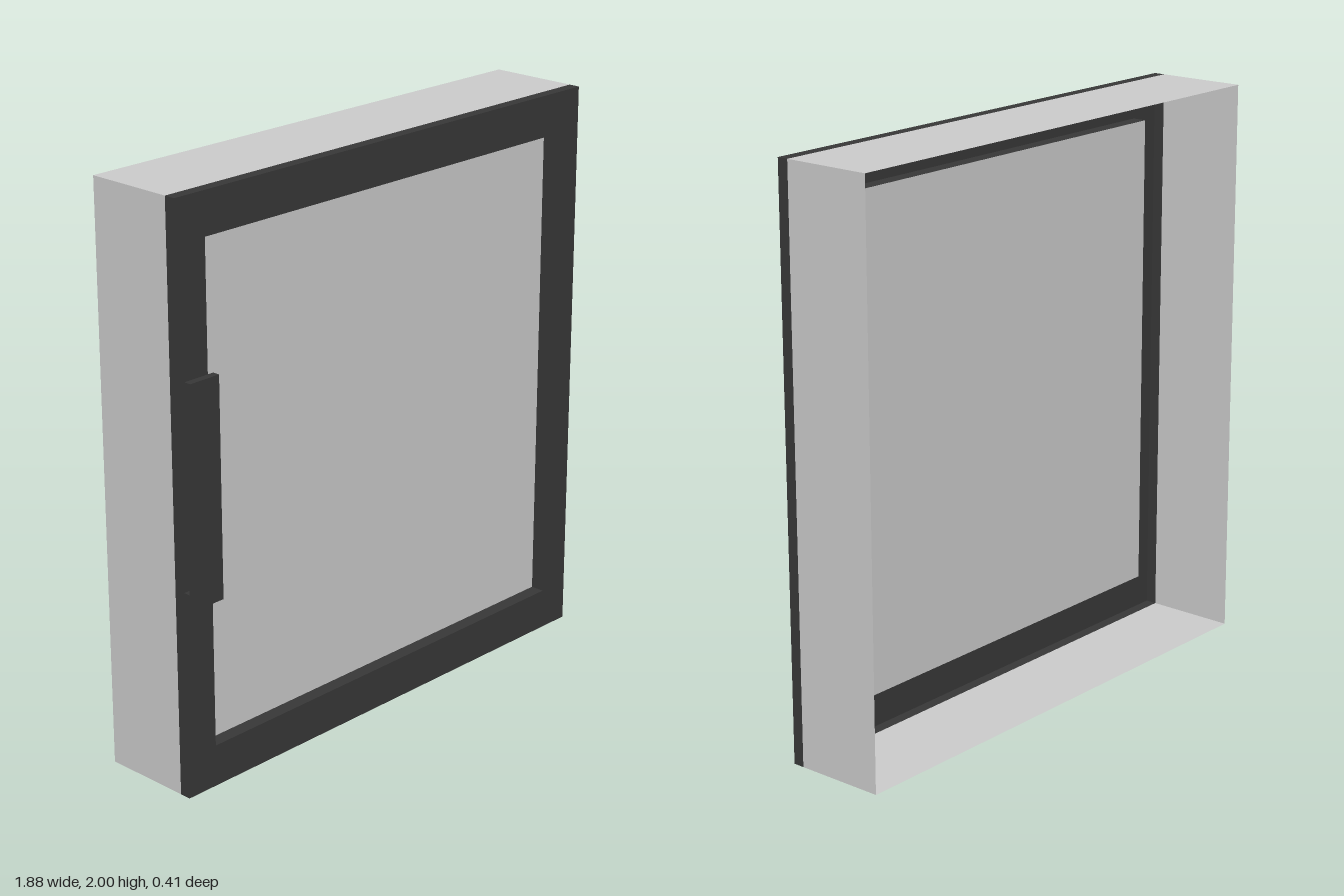
import * as THREE from 'three';
import { mergeGeometries } from 'three/addons/utils/BufferGeometryUtils.js';

const W = 1.88, H = 2;              // outer size
const PANE_W = 1.64, PANE_H = 1.71; // window opening
const PANE_Y = 1.0;                 // centre height
const BACK = -0.205, SEAM = 0.115, FACE = 0.155, PANE_Z = 0.105;

const grey = new THREE.MeshStandardMaterial({ color: 0xcccccc, side: THREE.DoubleSide });
const dark = new THREE.MeshStandardMaterial({ color: 0x383838, side: THREE.DoubleSide });

// Four thin walls around a rectangle, open at front and back
function sleeve(w, h, z0, z1) {
  const d = z1 - z0;
  const walls = [];
  for (let i = 0; i < 4; i++) {
    const across = i % 2 ? h : w;
    const out = (i % 2 ? w : h) / 2;
    walls.push(new THREE.PlaneGeometry(across, d)
      .rotateX(-Math.PI / 2)
      .translate(0, out, 0)
      .rotateZ(i * Math.PI / 2));
  }
  return mergeGeometries(walls).translate(0, PANE_Y, (z0 + z1) / 2);
}

function rectangle(PathType, w, h) {
  return new PathType([
    new THREE.Vector2(-w / 2, -h / 2), new THREE.Vector2(w / 2, -h / 2),
    new THREE.Vector2(w / 2, h / 2), new THREE.Vector2(-w / 2, h / 2),
  ]);
}

export function createModel() {
  const model = new THREE.Group();
  const add = (parent, name, geometry, material) => {
    const mesh = new THREE.Mesh(geometry, material);
    mesh.name = name;
    parent.add(mesh);
  };

  // Casing, open at the back
  add(model, 'casing', sleeve(W, H, BACK, SEAM), grey);

  // Door frame: rim, front face and the reveal around the window
  const door = new THREE.Group();
  door.name = 'doorFrame';
  const face = rectangle(THREE.Shape, W, H);
  face.holes.push(rectangle(THREE.Path, PANE_W, PANE_H));
  add(door, 'frameRim', sleeve(W, H, SEAM, FACE), dark);
  add(door, 'frameFace', new THREE.ShapeGeometry(face).translate(0, PANE_Y, FACE), dark);
  add(door, 'windowReveal', sleeve(PANE_W, PANE_H, PANE_Z, FACE), dark);
  model.add(door);

  // Window pane set back in the frame
  add(model, 'windowPane', new THREE.PlaneGeometry(PANE_W, PANE_H).translate(0, PANE_Y, PANE_Z), grey);

  // Handle: upright grip standing on one foot at its lower end
  const handle = new THREE.Group();
  handle.name = 'handle';
  add(handle, 'handleGrip', new THREE.BoxGeometry(0.12, 0.75, 0.025).translate(-0.88, 1.055, 0.1925), dark);
  add(handle, 'handleFoot', new THREE.BoxGeometry(0.12, 0.045, 0.025).translate(-0.88, 0.7025, 0.1675), dark);
  model.add(handle);

  return model;
}
